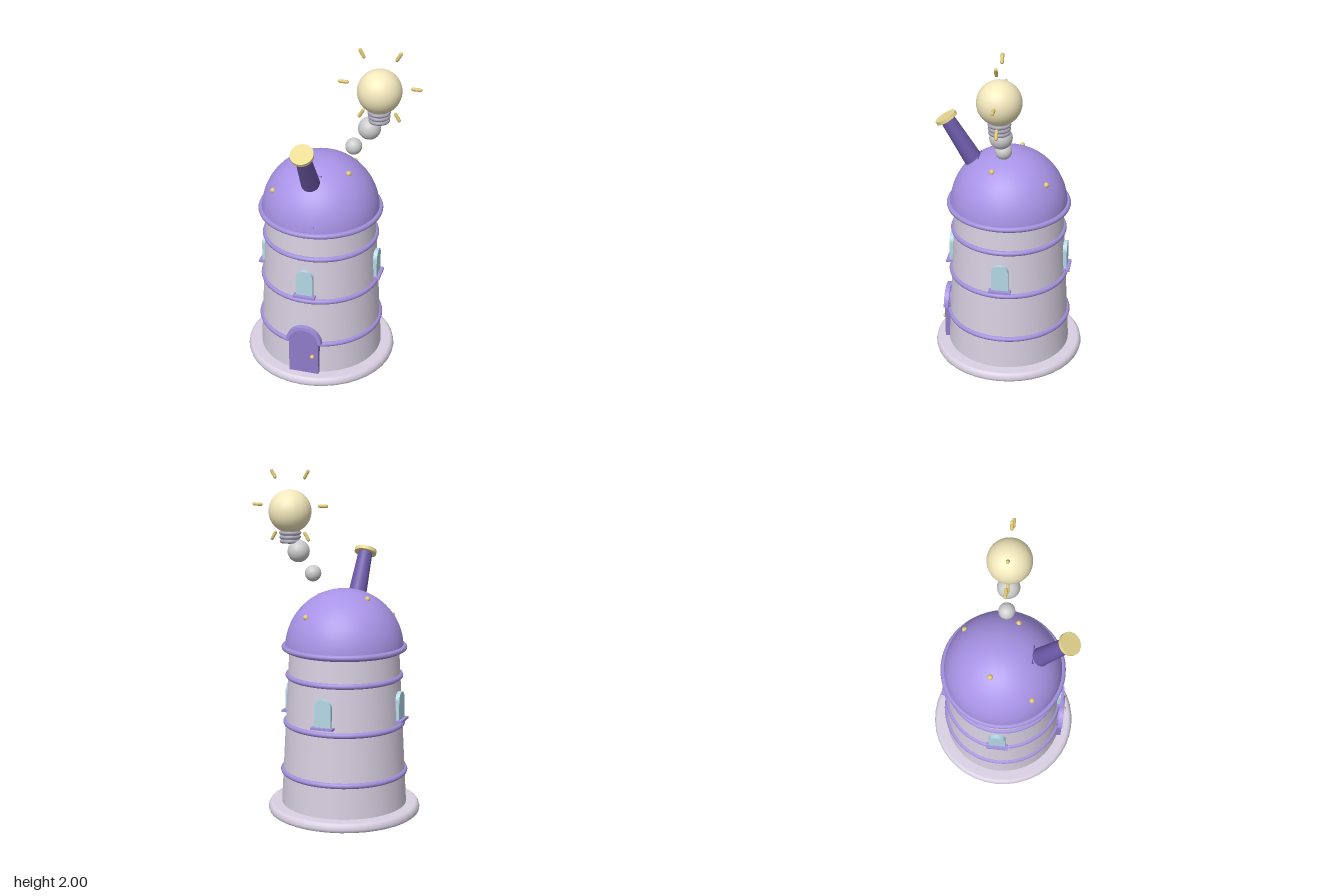
import * as THREE from 'three';

const mat = (color) => new THREE.MeshStandardMaterial({ color });
const M = {
  stone: mat(0xd6cfe0), base: mat(0xd9d0e2), dome: mat(0xa893e6), trim: mat(0xa28fdc),
  door: mat(0x8f7cc8), dark: mat(0x6a58a6), gold: mat(0xe0c873), cap: mat(0xe8d890),
  bulb: mat(0xf3e8bc), glass: mat(0xb4d8e6), grey: mat(0xcccccc), screw: mat(0xa5a3b2),
};
const DOME_Y = 0.98, DOME_R = 0.345;
const wallRadius = (y) => 0.37 - 0.05 * (y - 0.05) / 0.93;

function add(parent, name, geometry, material, x = 0, y = 0, z = 0) {
  const mesh = new THREE.Mesh(geometry, material);
  mesh.name = name;
  mesh.position.set(x, y, z);
  parent.add(mesh);
  return mesh;
}

// Upright panel with a semicircular top, standing on y = 0
function archPanel(width, height, depth) {
  const r = width / 2;
  const s = new THREE.Shape();
  s.moveTo(-r, 0);
  s.lineTo(r, 0);
  s.lineTo(r, height - r);
  s.absarc(0, height - r, r, 0, Math.PI, false);
  s.closePath();
  return new THREE.ExtrudeGeometry(s, { depth, bevelEnabled: false, curveSegments: 16 });
}

// Flat-backed half ring around the top of an arch
function archFrame(inner, outer, depth) {
  const s = new THREE.Shape();
  s.absarc(0, 0, outer, 0, Math.PI, false);
  s.absarc(0, 0, inner, Math.PI, 0, true);
  s.closePath();
  return new THREE.ExtrudeGeometry(s, { depth, bevelEnabled: false, curveSegments: 20 });
}

function buildTower(tower) {
  // Round plinth with a softened rim
  const rim = [[0, 0], [0.438, 0], [0.446, 0.006], [0.45, 0.02], [0.446, 0.038], [0.437, 0.05], [0.425, 0.055], [0, 0.055]];
  add(tower, 'plinth', new THREE.LatheGeometry(rim.map((p) => new THREE.Vector2(...p)), 40), M.base);
  add(tower, 'wall', new THREE.CylinderGeometry(0.32, 0.37, 0.93, 48), M.stone, 0, 0.515);

  // Horizontal bands
  for (const y of [0.25, 0.54, 0.82]) {
    add(tower, 'band', new THREE.TorusGeometry(wallRadius(y), 0.016, 10, 56), M.trim, 0, y).rotation.x = Math.PI / 2;
  }

  // Arched windows with sills on four sides
  for (let i = 0; i < 4; i++) {
    const win = new THREE.Group();
    win.name = 'window';
    win.rotation.y = i * Math.PI / 2;
    add(win, 'windowPane', archPanel(0.1, 0.165, 0.03), M.glass, 0, 0.58, 0.325);
    add(win, 'windowSill', new THREE.BoxGeometry(0.13, 0.013, 0.045), M.trim, 0, 0.578, 0.352);
    tower.add(win);
  }

  // Door with arch trim and knob
  add(tower, 'door', archPanel(0.18, 0.305, 0.04), M.door, 0, 0.055, 0.344);
  add(tower, 'doorArch', archFrame(0.088, 0.108, 0.03), M.trim, 0, 0.268, 0.358);
  add(tower, 'doorKnob', new THREE.SphereGeometry(0.013, 14, 10), M.gold, 0.055, 0.18, 0.391);
}

function buildDome(tower) {
  add(tower, 'domeFloor', new THREE.CylinderGeometry(0.345, 0.34, 0.02, 48), M.dark, 0, 0.975);
  add(tower, 'dome', new THREE.SphereGeometry(DOME_R, 48, 20, 0, Math.PI * 2, 0, Math.PI / 2), M.dome, 0, DOME_Y);
  add(tower, 'domeRim', new THREE.TorusGeometry(0.35, 0.016, 10, 56), M.trim, 0, 0.987).rotation.x = Math.PI / 2;

  // Gold studs resting on the dome surface
  for (const [x, z] of [[-0.16, -0.055], [0.145, -0.237], [0.185, 0.07], [-0.23, 0.188]]) {
    const y = DOME_Y + Math.sqrt(DOME_R ** 2 - x * x - z * z);
    add(tower, 'domeStud', new THREE.SphereGeometry(0.016, 14, 10), M.gold, x, y, z);
  }

  // Viewing slit sunk into the dome so only its ends show
  const slit = add(tower, 'viewingSlit', new THREE.BoxGeometry(0.11, 0.298, 0.03), M.dark, 0, 1.149, 0.242);
  slit.rotation.x = -Math.atan2(0.168, 0.245);

  // Telescope leaning out toward the front
  const scope = new THREE.Group();
  scope.name = 'telescope';
  scope.position.set(0, 1.5, 0.364);
  scope.rotation.x = 0.55;
  add(scope, 'telescopeTube', new THREE.CylinderGeometry(0.042, 0.057, 0.36, 28), M.dark, 0, -0.18);
  add(scope, 'telescopeCap', new THREE.CylinderGeometry(0.066, 0.066, 0.022, 32), M.cap);
  tower.add(scope);
}

function buildIdea(root) {
  // Rising bubbles
  add(root, 'smallBubble', new THREE.SphereGeometry(0.048, 28, 18), M.grey, 0.13, 1.405);
  add(root, 'largeBubble', new THREE.SphereGeometry(0.065, 28, 18), M.grey, 0.22, 1.53);

  const bulb = new THREE.Group();
  bulb.name = 'lightBulb';
  bulb.position.set(0.273, 1.76, 0);
  add(bulb, 'bulbGlass', new THREE.SphereGeometry(0.125, 36, 24), M.bulb);
  // Screw base
  add(bulb, 'screwCore', new THREE.CylinderGeometry(0.055, 0.05, 0.09, 28), M.screw, 0, -0.138);
  for (let i = 0; i < 3; i++) {
    add(bulb, 'screwThread', new THREE.TorusGeometry(0.054 - i * 0.002, 0.011, 10, 32), M.screw, 0, -0.125 - i * 0.024).rotation.x = Math.PI / 2;
  }
  // Light rays in a ring
  for (let i = 0; i < 6; i++) {
    const a = i * Math.PI / 3;
    const ray = add(bulb, 'lightRay', new THREE.CapsuleGeometry(0.01, 0.042, 4, 10), M.gold,
      Math.cos(a) * 0.206, 0.035 + Math.sin(a) * 0.206);
    ray.rotation.z = a - Math.PI / 2;
  }
  root.add(bulb);
}

export function createModel() {
  const root = new THREE.Group();
  root.name = 'observatory';
  const tower = new THREE.Group();
  tower.name = 'tower';
  tower.position.x = -0.065;
  root.add(tower);
  buildTower(tower);
  buildDome(tower);
  buildIdea(root);
  return root;
}
